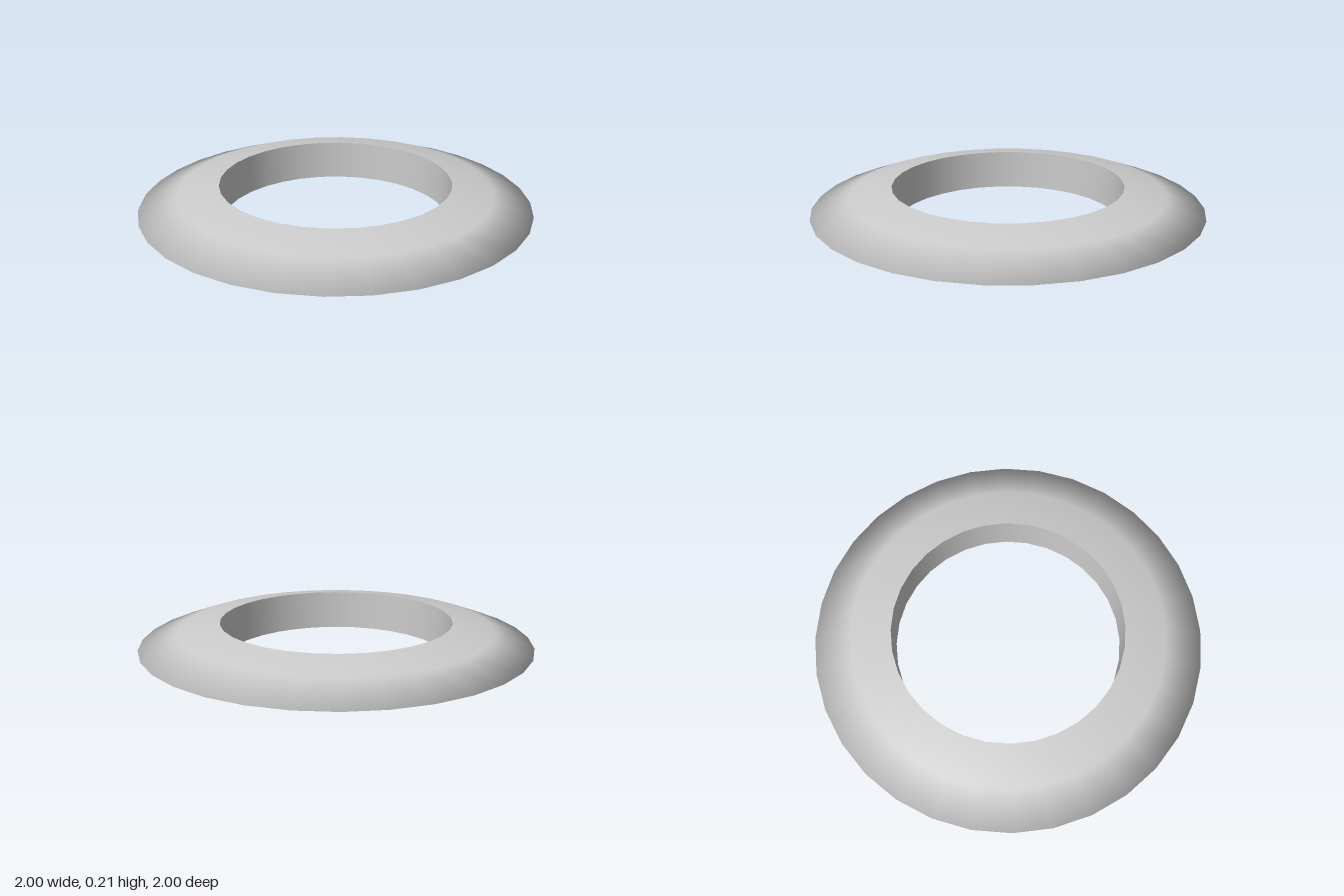
import * as THREE from 'three';

const SIDES = 32;

// Revolve a [radius, height] profile around the y axis
function revolve(name, profile, material) {
  const points = profile.map(([r, y]) => new THREE.Vector2(r, y));
  const mesh = new THREE.Mesh(new THREE.LatheGeometry(points, SIDES), material);
  mesh.name = name;
  return mesh;
}

export function createModel() {
  const group = new THREE.Group();
  group.name = 'ring';
  const material = new THREE.MeshStandardMaterial({ color: 0xcccccc });

  const inner = 0.594, height = 0.213, shoulder = 0.035;

  // Smooth lens-shaped outside, from the bottom edge round the rim to the top edge
  group.add(revolve('outerShell', [
    [inner, 0],
    [0.805, shoulder],
    [1, height / 2],
    [0.805, height - shoulder],
    [inner, height],
  ], material));

  // Straight wall of the hole, kept separate for crisp edges
  group.add(revolve('innerWall', [[inner, height], [inner, 0]], material));

  return group;
}
